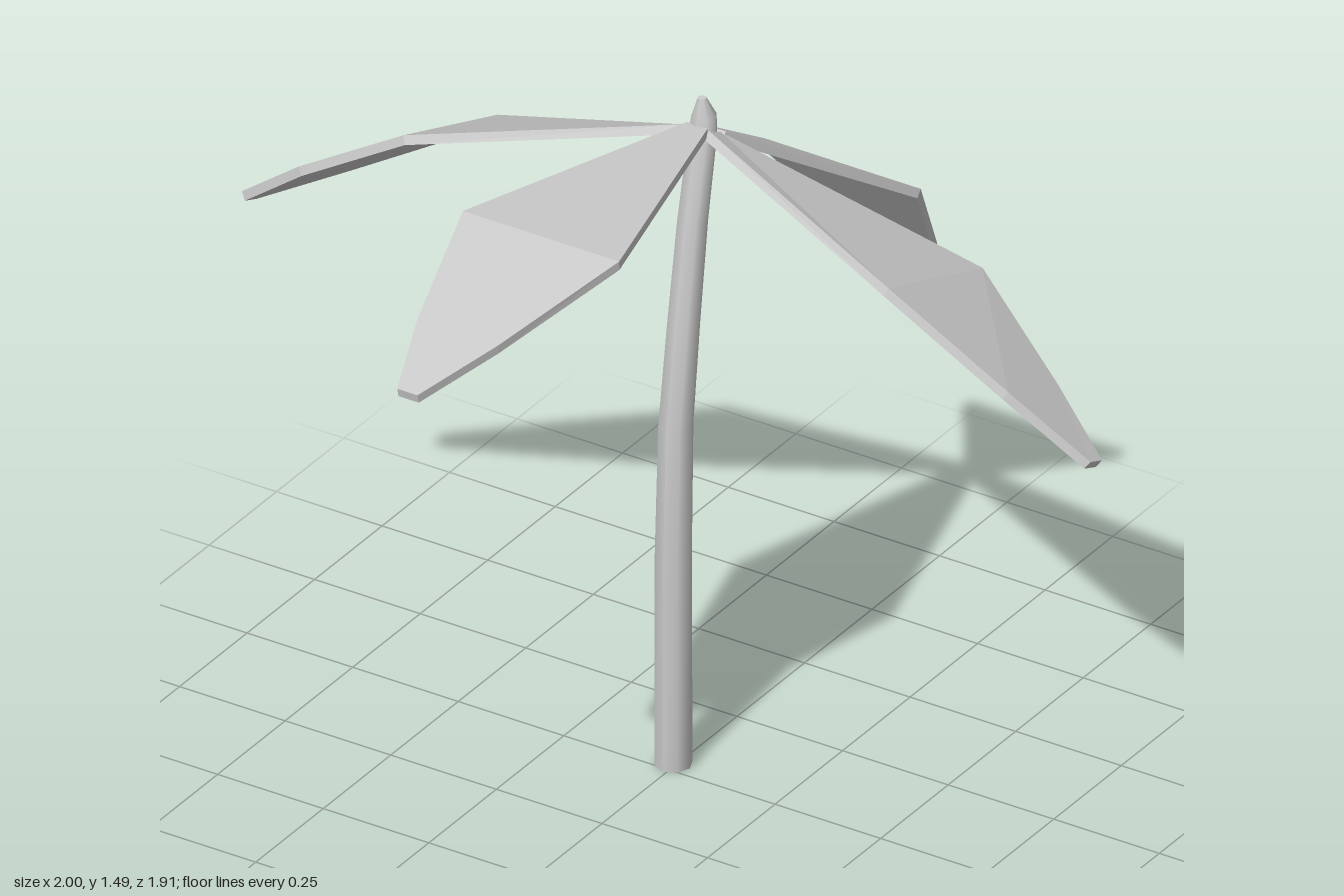
import * as THREE from 'three';

const THICKNESS = 0.02;
const grey = () => new THREE.MeshStandardMaterial({ color: 0xcccccc });

// Trunk rings from the ground up: [height, z of centre, radius]
const TRUNK = [
  [0, -0.027, 0.039], [0.49, -0.027, 0.038], [0.78, -0.036, 0.036], [1.0, -0.065, 0.034],
  [1.22, -0.098, 0.032], [1.4, -0.135, 0.03], [1.445, -0.14, 0.026], [1.488, -0.133, 0.009],
];

// Cylinder whose rows of vertices are moved onto the bent, tapering rings
function buildTrunk() {
  const rows = TRUNK.length - 1;
  const geo = new THREE.CylinderGeometry(1, 1, 1, 8, rows);
  const p = geo.attributes.position;
  for (let i = 0; i < p.count; i++) {
    const [y, z, r] = TRUNK[Math.round((p.getY(i) + 0.5) * rows)];
    p.setXYZ(i, -0.008 + p.getX(i) * r, y, z + p.getZ(i) * r);
  }
  geo.computeVertexNormals();
  const mesh = new THREE.Mesh(geo, grey());
  mesh.name = 'trunk';
  return mesh;
}

// Thin slab leaf. Each station holds the two upper edge points, from root to tip.
function buildLeaf(name, stations) {
  const edges = stations.map((s) => s.map((c) => new THREE.Vector3(...c)));
  const middles = edges.map(([a, b]) => a.clone().add(b).multiplyScalar(0.5));
  const last = edges.length - 1;
  const sections = edges.map(([a, b], i) => {
    const along = middles[Math.min(i + 1, last)].clone().sub(middles[Math.max(i - 1, 0)]);
    const down = b.clone().sub(a).cross(along).normalize();
    if (down.y > 0) down.negate();
    down.multiplyScalar(THICKNESS);
    return [a, b, b.clone().add(down), a.clone().add(down)];
  });

  // Wind every face outwards whichever way the leaf points
  const [a, b] = edges[0];
  const flip = b.clone().sub(a).cross(middles[1].clone().sub(middles[0])).y < 0;
  const out = [];
  const quad = (p, q, r, s) => {
    for (const v of flip ? [p, r, q, p, s, r] : [p, q, r, p, r, s]) out.push(v.x, v.y, v.z);
  };
  for (let i = 0; i < last; i++) {
    for (let k = 0; k < 4; k++) {
      const n = (k + 1) % 4;
      quad(sections[i][k], sections[i][n], sections[i + 1][n], sections[i + 1][k]);
    }
  }
  const [s, e] = [sections[0], sections[last]];
  quad(s[3], s[2], s[1], s[0]);
  quad(e[0], e[1], e[2], e[3]);

  const geo = new THREE.BufferGeometry();
  geo.setAttribute('position', new THREE.Float32BufferAttribute(out, 3));
  geo.computeVertexNormals();
  const material = grey();
  material.flatShading = true;
  const mesh = new THREE.Mesh(geo, material);
  mesh.name = name;
  return mesh;
}

// Level leaf along z: rows of [z, y, half width]
const levelLeaf = (name, x, rows) =>
  buildLeaf(name, rows.map(([z, y, w]) => [[x - w, y, z], [x + w, y, z]]));

// Side leaf, its back edge lower: side is 1 or -1, shift slides the outer part in z
const sideLeaf = (name, side, shift) => buildLeaf(name, [
  [[side * 0.025 - 0.008, 1.4, -0.165], [side * 0.025 - 0.008, 1.425, -0.12]],
  [[side * 0.57, 1.21, -0.268 + shift], [side * 0.57, 1.335, 0.08 + shift]],
  [[side * 0.835, 1.085, -0.137 + shift], [side * 0.835, 1.165, 0.052 + shift]],
  [[side, 1.015, -0.038 + shift], [side, 1.032, 0.005 + shift]],
]);

export function createModel() {
  const model = new THREE.Group();
  model.name = 'palmTree';
  model.add(
    buildTrunk(),
    levelLeaf('frontLeaf', -0.01, [
      [-0.12, 1.43, 0.024], [0.46, 1.46, 0.185], [0.77, 1.39, 0.095], [0.955, 1.345, 0.024],
    ]),
    levelLeaf('backLeaf', 0.004, [
      [-0.165, 1.405, 0.024], [-0.635, 1.09, 0.185], [-0.835, 0.84, 0.095], [-0.957, 0.7, 0.024],
    ]),
    sideLeaf('leftLeaf', 1, 0),
    sideLeaf('rightLeaf', -1, 0.014),
  );
  return model;
}
